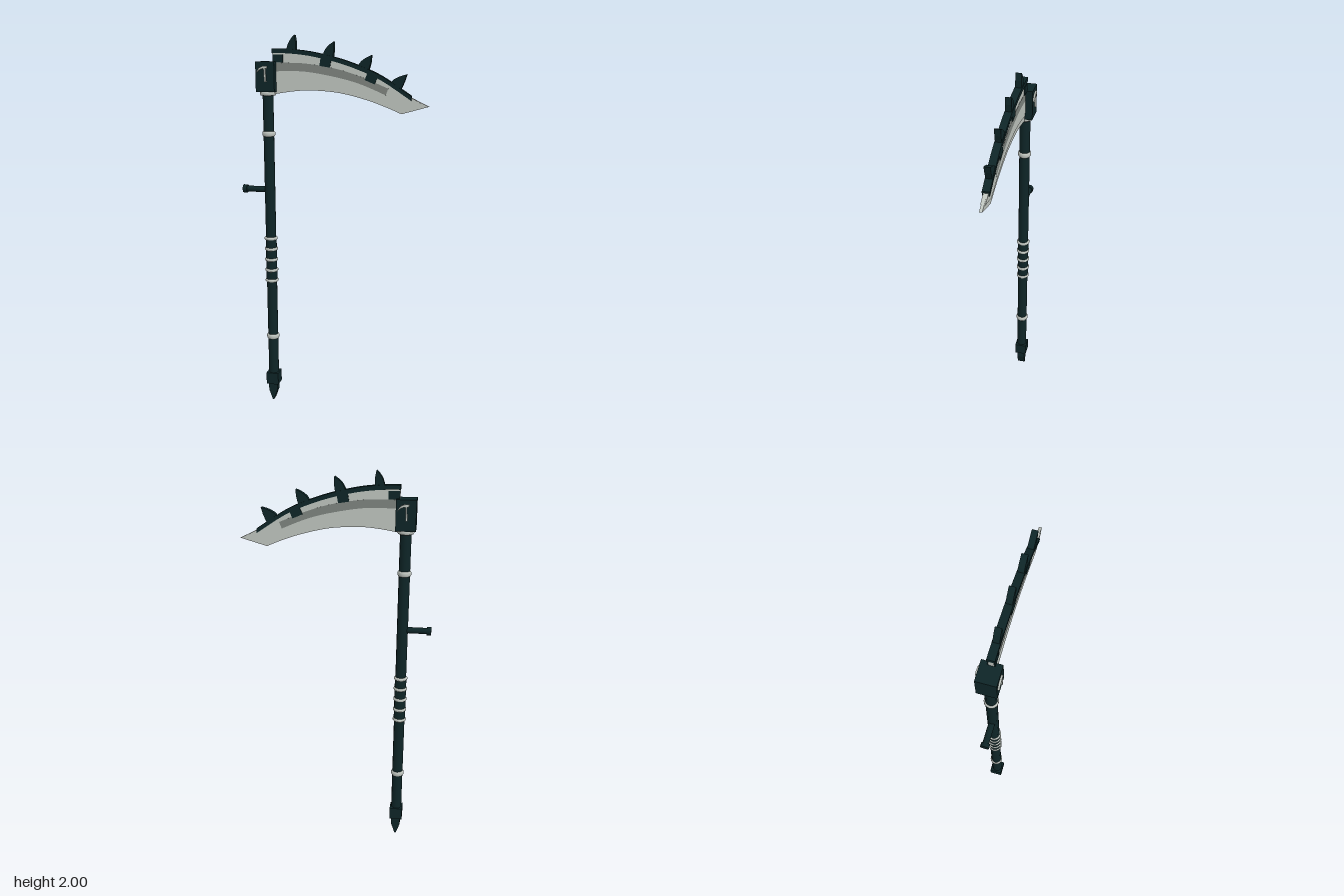
import * as THREE from 'three';

const mat = (name, color) => {
  const m = new THREE.MeshStandardMaterial({ color });
  m.name = name;
  return m;
};

export function createModel() {
  const dark = mat('dark teal', 0x0e2527);
  const steel = mat('pale steel', 0xc0c6c0);
  const grey = mat('groove grey', 0x7f8580);
  const root = new THREE.Group();
  const AX = -0.343; // shaft axis

  const add = (name, geo, material, x = 0, y = 0, z = 0) => {
    const m = new THREE.Mesh(geo, material);
    m.name = name;
    m.position.set(x, y, z);
    root.add(m);
    return m;
  };
  const vec = (p) => p.map(([x, y]) => new THREE.Vector2(x, y));
  const smooth = (p, n = 24) => new THREE.SplineCurve(vec(p)).getPoints(n);
  // Flat plate cut from an outline, centred on z = 0
  const plate = (name, pts, half, material) => {
    const geo = new THREE.ExtrudeGeometry(new THREE.Shape(pts), { depth: half * 2, bevelEnabled: false });
    geo.translate(0, 0, -half);
    return add(name, geo, material);
  };
  const shift = (p, dy) => p.map(([x, y]) => [x, y + dy]);
  const band = (upper, lower) => [...smooth(upper), ...smooth(lower).reverse()];

  // Shaft
  add('shaft', new THREE.CylinderGeometry(0.028, 0.028, 1.6, 12), dark, AX, 0.92);

  // Rounded metal rings
  const ring = (name, y, r, h) => {
    const prof = vec([[0.026, -h / 2], [r - 0.004, -h / 2], [r, -h / 4], [r, h / 4], [r - 0.004, h / 2], [0.026, h / 2]]);
    add(name, new THREE.LatheGeometry(prof, 20), steel, AX, y);
  };
  ring('upperRing', 1.505, 0.034, 0.026);
  ring('lowerRing', 0.383, 0.034, 0.026);
  ring('headCollar', 1.712, 0.041, 0.022);
  for (let i = 0; i < 5; i++) ring('gripRing', 0.709 + i * 0.059, 0.035, 0.016);
  // Dark grip under the rings
  add('grip', new THREE.CylinderGeometry(0.03, 0.03, 0.236, 12), dark, AX, 0.827);

  // Side handle
  const peg = add('sidePeg', new THREE.CylinderGeometry(0.016, 0.016, 0.12, 12), dark, -0.415, 1.21);
  peg.rotation.z = Math.PI / 2;
  const cap = add('sidePegCap', new THREE.CylinderGeometry(0.022, 0.022, 0.022, 12), dark, -0.478, 1.21);
  cap.rotation.z = Math.PI / 2;

  // Pommel block and wedge point
  add('pommel', new THREE.BoxGeometry(0.068, 0.067, 0.066), dark, AX, 0.133);
  plate('pommelPoint', vec([[AX - 0.024, 0.102], [AX - 0.024, 0.06], [AX - 0.003, 0], [AX + 0.003, 0],
    [AX + 0.024, 0.06], [AX + 0.024, 0.102]]), 0.022, dark);

  // Head block with a small curved inlay on both faces
  add('headBlock', new THREE.BoxGeometry(0.098, 0.15, 0.094), dark, AX, 1.795);
  const inlay = new THREE.Shape();
  inlay.moveTo(0.008, -0.03);
  inlay.lineTo(-0.001, -0.03);
  inlay.lineTo(-0.004, 0.036);
  inlay.quadraticCurveTo(-0.024, 0.036, -0.042, 0.016);
  inlay.quadraticCurveTo(-0.03, 0.052, 0.014, 0.05);
  inlay.lineTo(0.014, 0.038);
  inlay.lineTo(0.004, 0.036);
  const inlayGeo = new THREE.ExtrudeGeometry(inlay, { depth: 0.009, bevelEnabled: false, curveSegments: 6 });
  add('frontInlay', inlayGeo, steel, AX, 1.8, 0.0465);
  add('backInlay', inlayGeo, steel, AX, 1.8, -0.0465).rotation.y = Math.PI;

  // Blade: thin full outline with a thicker layer set back from the edge
  const top = [[-0.313, 1.934], [-0.229, 1.932], [-0.123, 1.921], [0.009, 1.893], [0.125, 1.856], [0.247, 1.803], [0.395, 1.708]];
  const edge = [[-0.305, 1.708], [-0.2, 1.724], [-0.1, 1.729], [0.035, 1.718], [0.167, 1.687], [0.27, 1.652], [0.347, 1.62]];
  const upper = shift(top, -0.008);
  plate('bladeEdge', [...smooth(upper), ...vec([[0.482, 1.658]]), ...smooth(edge).reverse()], 0.007, steel);
  const inner = shift(edge, 0.03);
  plate('bladeBody', [...smooth(upper), ...vec([[0.445, 1.673]]), ...smooth(inner).reverse()], 0.0115, steel);

  // Darker groove strip on both blade faces
  const grooveTop = [[-0.3, 1.864], [-0.15, 1.862], [0.01, 1.838], [0.14, 1.8], [0.28, 1.743]];
  const grooveLow = [[-0.3, 1.822], [-0.15, 1.822], [0.01, 1.797], [0.14, 1.763], [0.268, 1.711]];
  plate('grooveStrip', band(grooveTop, grooveLow), 0.0125, grey);

  // Spine along the back of the blade
  plate('spine', band(top, shift(top, -0.022)), 0.018, dark);

  // Clamps holding the spine
  for (const [x, y, a] of [[-0.283, 1.885, 0], [-0.037, 1.866, -0.16], [0.195, 1.792, -0.4]]) {
    add('spineClamp', new THREE.BoxGeometry(0.054, 0.04, 0.035), dark, x, y).rotation.z = a;
  }

  // Curved spikes on the spine: base left, base right, tip
  const spikes = [
    [-0.238, 1.922, -0.19, 1.918, -0.196, 2.0],
    [-0.05, 1.898, 0.0, 1.886, 0.005, 1.967],
    [0.128, 1.846, 0.18, 1.824, 0.195, 1.903],
    [0.292, 1.768, 0.342, 1.738, 0.37, 1.813],
  ];
  for (const [ax, ay, bx, by, tx, ty] of spikes) {
    const s = new THREE.Shape();
    s.moveTo(ax, ay);
    s.lineTo(bx, by);
    s.lineTo(bx * 0.5 + tx * 0.5 + 0.004, by * 0.45 + ty * 0.55);
    s.lineTo(tx, ty);
    s.quadraticCurveTo(ax + 0.006, ay * 0.4 + ty * 0.6, ax, ay);
    plate('spike', s.getPoints(5), 0.015, dark);
  }
  return root;
}
